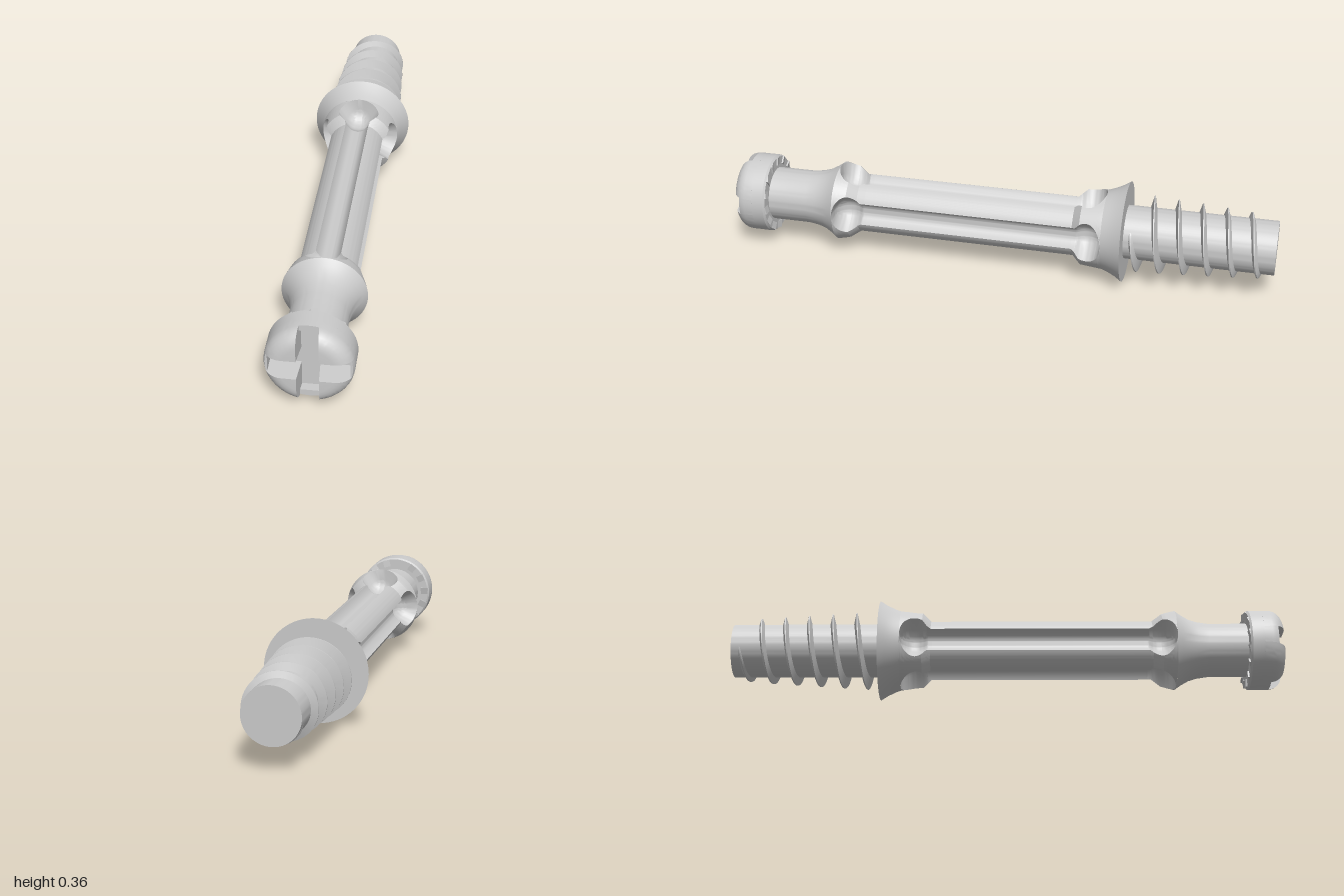
import * as THREE from 'three';
import { toCreasedNormals } from 'three/addons/utils/BufferGeometryUtils.js';

const AXIS_Y = 0.183;
const material = new THREE.MeshStandardMaterial({ color: 0xcccccc });

// Body outline as [z, radius]: flange, collar, shaft, front collar, neck
const OUTLINE = [
  [-0.465, 0.182], [-0.44, 0.166], [-0.41, 0.152], [-0.39, 0.145], [-0.37, 0.143],
  [-0.31, 0.137], [-0.28, 0.107], [0.525, 0.107], [0.56, 0.134], [0.609, 0.145],
  [0.63, 0.13], [0.66, 0.113], [0.69, 0.104], [0.73, 0.098], [0.87, 0.098],
];
const GROOVE = { back: -0.39, front: 0.609, depthCentre: 0.105, radius: 0.042, ball: 0.057 };

function outlineRadius(z) {
  for (let i = 1; i < OUTLINE.length; i++) {
    const [z0, r0] = OUTLINE[i - 1], [z1, r1] = OUTLINE[i];
    if (z <= z1) return r0 + (r1 - r0) * (z - z0) / (z1 - z0);
  }
  return OUTLINE.at(-1)[1];
}

function makeMesh(name, geometry, crease = 0.55) {
  const m = new THREE.Mesh(toCreasedNormals(geometry, crease), material);
  m.name = name;
  return m;
}

// Turned part around the z axis from [z, radius] points in rising order
function turned(name, points) {
  const g = new THREE.LatheGeometry(points.map(([z, r]) => new THREE.Vector2(r, z)), 72);
  return makeMesh(name, g.rotateX(Math.PI / 2));
}

// Skin closed cross-sections together, with optional fan caps
function loft(rings, caps = true) {
  const n = rings[0].length, index = [];
  for (let i = 0; i < rings.length - 1; i++) {
    for (let j = 0; j < n; j++) {
      const a = i * n + j, b = i * n + (j + 1) % n;
      index.push(a, b, b + n, a, b + n, a + n);
    }
  }
  const last = (rings.length - 1) * n;
  for (let j = 1; caps && j < n - 1; j++) {
    index.push(0, j + 1, j, last, last + j, last + j + 1);
  }
  const g = new THREE.BufferGeometry();
  g.setAttribute('position', new THREE.Float32BufferAttribute(rings.flat(2), 3));
  g.setIndex(index);
  return g;
}

// Shaft and collars with four ball-ended grooves
function groovedShaft() {
  const { back, front, depthCentre: c, radius, ball } = GROOVE;
  const stops = OUTLINE.map(p => p[0]).filter(z => z >= back && z <= front);
  for (let i = 0; i <= 24; i++) {
    const d = ball * (1 - Math.cos(Math.PI * i / 24));
    stops.push(back + d, front - d);
  }
  const zs = [...new Set(stops.map(z => +z.toFixed(5)))].sort((a, b) => a - b);
  const rings = zs.map(z => {
    const R = outlineRadius(z);
    const end = Math.min(z - back, front - z) - ball;
    const sphere = Math.sqrt(Math.max(0, ball * ball - end * end));
    const rho = end > 0 ? Math.max(radius, sphere) : sphere;
    const edge = Math.asin(rho / c), ring = [];
    for (let k = 0; k < 4; k++) {
      const add = (d, r) => {
        const t = k * Math.PI / 2 + d;
        ring.push([r * Math.cos(t), r * Math.sin(t), z]);
      };
      for (let j = 0; j <= 14; j++) {
        const d = edge * (j / 7 - 1);
        const cut = c * Math.cos(d) - Math.sqrt(Math.max(0, rho ** 2 - (c * Math.sin(d)) ** 2));
        add(d, Math.min(R, cut));
      }
      for (let j = 0; j <= 14; j++) add(edge + (Math.PI / 2 - 2 * edge) * j / 14, R);
    }
    return ring;
  });
  return makeMesh('groovedShaft', loft(rings, false));
}

// Right-handed tapering thread
function thread() {
  const pitch = 0.087, zStart = -0.975, zEnd = -0.487, rings = [], steps = 340;
  for (let i = 0; i <= steps; i++) {
    const u = i / steps, z = zStart + (zEnd - zStart) * u;
    const t = Math.PI / 2 + (z + 0.56) / pitch * Math.PI * 2;
    const fade = Math.min(1, u * 14, (1 - u) * 20);
    const crest = 0.094 + (0.02 + 0.03 * u) * fade;
    rings.push([[-0.012, 0.092], [0.012, 0.092], [0.002, crest], [-0.002, crest]]
      .map(([dz, r]) => [r * Math.cos(t), r * Math.sin(t), z + dz]));
  }
  return makeMesh('thread', loft(rings));
}

// Domed head with a cross recess: four quarters and four closing rim pieces
function head() {
  const g = new THREE.Group();
  g.name = 'head';
  const floor = 0.92;
  const levels = [[floor, 0.145]];
  for (let i = 0; i <= 7; i++) {
    const a = i / 7 * Math.PI / 2;
    levels.push([0.95 + 0.05 * Math.sin(a), 0.09 + 0.055 * Math.cos(a)]);
  }
  const half = z => 0.03 + 0.006 * (z - floor) / 0.08;
  const arc = (R, from, to, z, n) => Array.from({ length: n + 1 }, (_, j) => {
    const t = from + (to - from) * j / n;
    return [R * Math.cos(t), R * Math.sin(t), z];
  });
  const quarter = loft(levels.map(([z, R]) => {
    const s = half(z), a = Math.asin(s / R);
    return [[s, s, z], ...arc(R, a, Math.PI / 2 - a, z, 16)];
  }));
  const rim = (inner, list) => loft(list.map(([z, R]) => {
    const s = half(z), a = Math.asin(s / R);
    return [[inner, -s, z], ...arc(R, -a, a, z, 6), [inner, s, z]];
  }));
  const sideRim = rim(0.131, levels.slice(0, 4));
  const topRim = rim(0.122, levels.slice(0, 2));
  for (let k = 0; k < 4; k++) {
    const q = makeMesh('headQuarter', quarter);
    const r = makeMesh('recessRim', k % 2 ? topRim : sideRim);
    q.rotation.z = r.rotation.z = k * Math.PI / 2;
    g.add(q, r);
  }
  // Ratchet teeth behind the head
  const tooth = new THREE.BoxGeometry(0.028, 0.045, 0.016);
  const p = tooth.attributes.position;
  for (let i = 0; i < p.count; i++) {
    if (p.getZ(i) < 0 && p.getY(i) > 0) p.setZ(i, 0.002);
  }
  tooth.translate(0.125, 0, 0.872);
  for (let k = 0; k < 14; k++) {
    const m = makeMesh('ratchetTooth', tooth);
    m.rotation.z = k / 14 * Math.PI * 2;
    g.add(m);
  }
  return g;
}

export function createModel() {
  const model = new THREE.Group();
  model.name = 'dowelScrew';
  const { back, front } = GROOVE;
  const body = new THREE.Group();
  body.name = 'body';
  body.position.y = AXIS_Y;
  body.add(
    turned('screwCoreAndFlange', [[-1, 0], [-1, 0.097], [-0.465, 0.097],
      ...OUTLINE.filter(p => p[0] <= back)]),
    thread(),
    groovedShaft(),
    turned('neckAndHeadBase', [...OUTLINE.filter(p => p[0] >= front),
      [0.87, 0.139], [0.877, 0.145], [0.92, 0.145], [0.92, 0]]),
    head(),
  );
  model.add(body);
  return model;
}
